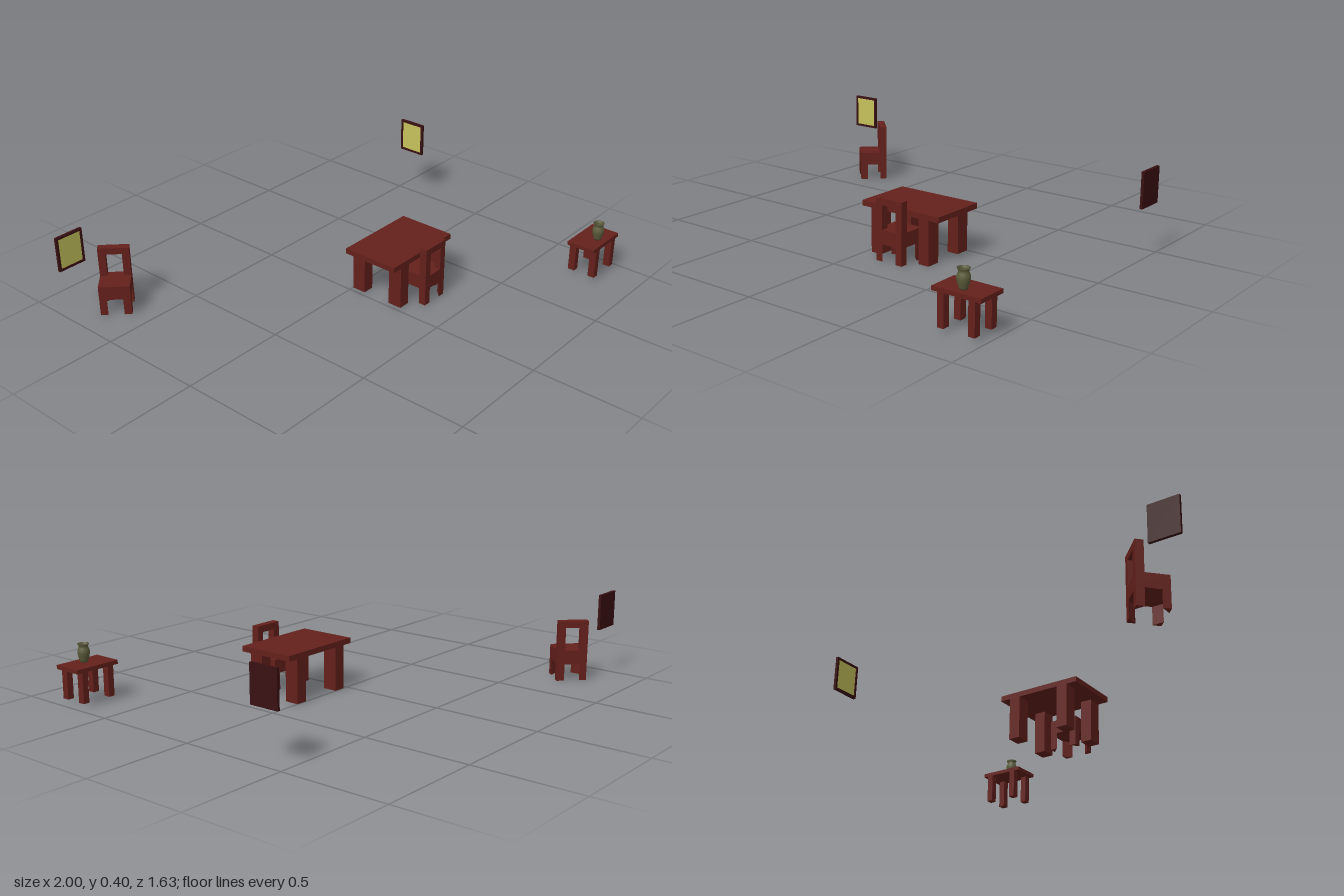
import * as THREE from 'three';

const mat = (color) => new THREE.MeshStandardMaterial({ color });
const wood = mat(0x64201b);
const darkWood = mat(0x3a1012);
const canvasPaint = mat(0xc6c25c);
const glaze = mat(0x5c5c3c);
glaze.side = THREE.DoubleSide;

// Box given by its lower and upper limits on each axis
function box(parent, name, [x0, x1], [y0, y1], [z0, z1], material = wood) {
  const mesh = new THREE.Mesh(new THREE.BoxGeometry(x1 - x0, y1 - y0, z1 - z0), material);
  mesh.position.set((x0 + x1) / 2, (y0 + y1) / 2, (z0 + z1) / 2);
  mesh.name = name;
  parent.add(mesh);
  return mesh;
}

function group(parent, name, x = 0, z = 0, turn = 0) {
  const g = new THREE.Group();
  g.name = name;
  g.position.set(x, 0, z);
  g.rotation.y = turn;
  parent.add(g);
  return g;
}

// Table with a flat top and four legs at the given x and z ranges
function table(root, name, top, legsX, legsZ, floor) {
  const g = group(root, name);
  box(g, 'tableTop', ...top);
  for (const lx of legsX) {
    for (const lz of legsZ) box(g, 'tableLeg', lx, [floor, top[1][0]], lz);
  }
}

// Chair facing +z: block seat, three-sided corner legs, open framed back
function chair(root, name, x, z, turn) {
  const g = group(root, name, x, z, turn);
  const w = 0.0695, d = 0.0675, leg = 0.034, seatY = 0.078, seatTop = 0.143, top = 0.283;
  box(g, 'seat', [-w, w], [seatY, seatTop], [-d, d]);

  for (const sx of [-1, 1]) {
    for (const sz of [-1, 1]) {
      const corner = new THREE.Shape([
        new THREE.Vector2(sx * w, -sz * d),
        new THREE.Vector2(sx * (w - leg), -sz * d),
        new THREE.Vector2(sx * w, -sz * (d - leg)),
      ]);
      const geo = new THREE.ExtrudeGeometry(corner, { depth: seatY, bevelEnabled: false });
      geo.rotateX(-Math.PI / 2);
      const mesh = new THREE.Mesh(geo, wood);
      mesh.name = 'chairLeg';
      g.add(mesh);
    }
  }

  // Back frame
  const back = [-d, -d + 0.035];
  box(g, 'backPost', [-w, -w + 0.033], [seatTop, top], back);
  box(g, 'backPost', [w - 0.033, w], [seatTop, top], back);
  box(g, 'backRail', [-w + 0.033, w - 0.033], [0.252, top], back);
}

// Wall picture facing +z: backing, four frame bars and a painted panel
function picture(root, name, x, z, turn) {
  const g = group(root, name, x, z, turn);
  const w = 0.069, y0 = 0.23, y1 = 0.395, b = 0.011, t = 0.0065;
  box(g, 'backing', [-w, w], [y0, y1], [-t, 0], darkWood);
  box(g, 'panel', [-w + b, w - b], [y0 + b, y1 - b], [0, t * 0.5], canvasPaint);
  for (const [a, c] of [[-w, -w + b], [w - b, w]]) box(g, 'frameSide', [a, c], [y0, y1], [0, t], darkWood);
  for (const [a, c] of [[y0, y0 + b], [y1 - b, y1]]) {
    box(g, 'frameRail', [-w + b, w - b], [a, c], [0, t], darkWood);
  }
}

// Round vase with belly, neck and flared open rim
function vase(root, x, y, z) {
  const outline = [
    [0, 0], [0.017, 0], [0.019, 0.008], [0.024, 0.024], [0.027, 0.04], [0.027, 0.05],
    [0.023, 0.062], [0.02, 0.069], [0.022, 0.075], [0.026, 0.082],
    [0.022, 0.081], [0.017, 0.07], [0.02, 0.05], [0, 0.02],
  ].map(([r, h]) => new THREE.Vector2(r, h));
  const mesh = new THREE.Mesh(new THREE.LatheGeometry(outline, 20), glaze);
  mesh.name = 'vase';
  mesh.position.set(x, y, z);
  root.add(mesh);
}

export function createModel() {
  const root = new THREE.Group();
  root.name = 'diningRoomFurniture';

  table(root, 'diningTable', [[-0.027, 0.39], [0.203, 0.228], [0, 0.277]],
    [[0.024, 0.079], [0.284, 0.339]], [[0, 0.068], [0.209, 0.277]], 0);
  table(root, 'sideTable', [[0.767, 0.99], [0.157, 0.175], [0.677, 0.816]],
    [[0.794, 0.824], [0.934, 0.964]], [[0.677, 0.71], [0.783, 0.816]], 0.018);
  vase(root, 0.878, 0.175, 0.769);

  chair(root, 'tableChair', 0.181, 0.281, Math.PI);
  chair(root, 'cornerChair', -0.793, -0.697, -Math.PI / 4);

  picture(root, 'backPicture', -0.931, -0.8095, 0);
  picture(root, 'sidePicture', 0.9935, -0.419, -Math.PI / 2);
  return root;
}
